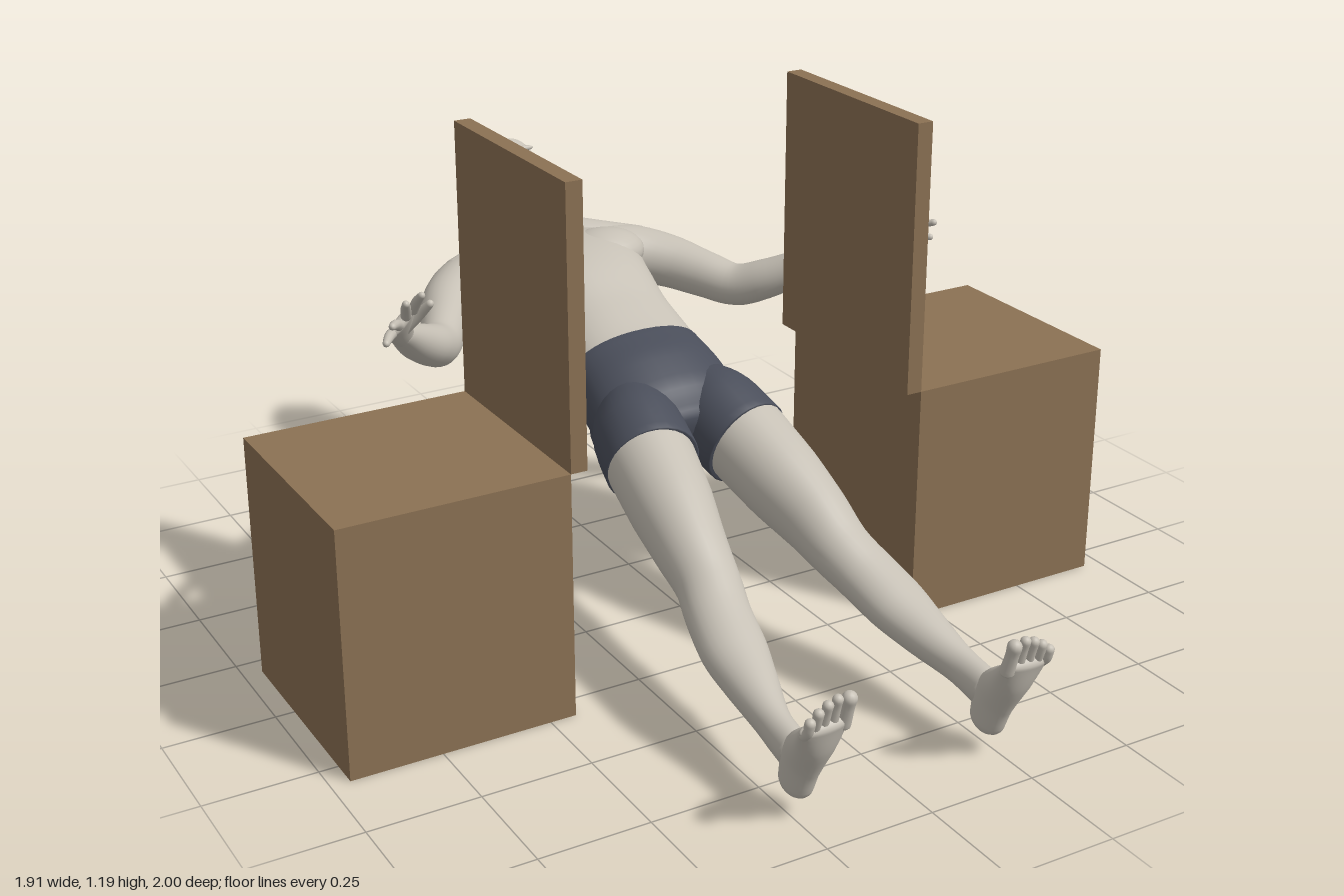
import * as THREE from 'three';

const mat = (name, color) => {
  const m = new THREE.MeshStandardMaterial({ color });
  m.name = name;
  return m;
};
const V = (a) => new THREE.Vector3(a[0], a[1], a[2]);

// Smooth body through stations [x, y, z, halfWidth, halfThickness], with rounded ends.
// ref is the thickness direction, s = -1 mirrors in x, pow < 1 squares the section.
function loft(stations, { ref = [0, 1, 0], s = 1, caps = [0.02, 0.02], pow = 1, sides = 28, steps = 5, grow = 0 } = {}) {
  const path = new THREE.CatmullRomCurve3(stations.map((p) => V([p[0] * s, p[1], p[2]])));
  const size = new THREE.CatmullRomCurve3(stations.map((p) => V([p[3] + grow, p[4] + grow, 0])));
  const up0 = V([ref[0] * s, ref[1], ref[2]]);
  const n = (stations.length - 1) * steps, capN = 6, rings = [];
  for (let i = 0; i < capN; i++) {
    const a = (i / capN) * Math.PI / 2;
    rings.push([0, Math.sin(a), -Math.cos(a) * caps[0]]);
  }
  for (let i = 0; i <= n; i++) rings.push([i / n, 1, 0]);
  for (let i = capN - 1; i >= 0; i--) {
    const a = (i / capN) * Math.PI / 2;
    rings.push([1, Math.sin(a), Math.cos(a) * caps[1]]);
  }
  const pos = [], idx = [];
  const bend = (v) => Math.sign(v) * Math.pow(Math.abs(v), pow);
  rings.forEach(([t, k, off], r) => {
    const T = path.getTangent(t), c = path.getPoint(t).addScaledVector(T, off), d = size.getPoint(t);
    const side = new THREE.Vector3().crossVectors(up0, T).normalize();
    const up = new THREE.Vector3().crossVectors(T, side);
    for (let j = 0; j < sides; j++) {
      const a = (j / sides) * Math.PI * 2;
      const p = c.clone().addScaledVector(side, bend(Math.cos(a)) * d.x * k).addScaledVector(up, bend(Math.sin(a)) * d.y * k);
      pos.push(p.x, p.y, p.z);
      if (r === rings.length - 1) continue;
      const A = r * sides + j, B = r * sides + (j + 1) % sides;
      idx.push(A, B, A + sides, B, B + sides, A + sides);
    }
  });
  const g = new THREE.BufferGeometry();
  g.setAttribute('position', new THREE.Float32BufferAttribute(pos, 3));
  g.setIndex(idx);
  g.computeVertexNormals();
  return g;
}

function blob(center, radii) {
  return new THREE.SphereGeometry(1, 24, 16).scale(...radii).translate(...center);
}

export function createModel() {
  const skin = mat('skin', 0xc6c0b5), cloth = mat('shorts cloth', 0x4a4e5a), wood = mat('wood', 0x8b7153);
  const model = new THREE.Group();
  model.name = 'recliningFigure';
  const add = (name, geo, m = skin) => {
    const mesh = new THREE.Mesh(geo, m);
    mesh.name = name;
    model.add(mesh);
  };

  // Torso and neck
  add('torso', loft([
    [0, 0.53, -0.16, 0.16, 0.1], [0, 0.55, -0.22, 0.165, 0.1], [0, 0.592, -0.32, 0.158, 0.1],
    [0, 0.628, -0.44, 0.172, 0.122], [0, 0.645, -0.55, 0.205, 0.118],
    [0, 0.652, -0.63, 0.215, 0.1], [0, 0.665, -0.69, 0.16, 0.075],
  ], { pow: 0.88, caps: [0.02, 0.04], sides: 40 }));
  add('neck', loft([
    [0, 0.77, -0.86, 0.06, 0.062], [0, 0.735, -0.78, 0.063, 0.06],
    [0, 0.695, -0.71, 0.085, 0.065], [0, 0.67, -0.64, 0.11, 0.07],
  ]));

  // Head, pressed in at the eye sockets
  const head = loft([
    [0, 0.815, -0.955, 0.06, 0.076], [0, 0.812, -0.92, 0.077, 0.1], [0, 0.807, -0.87, 0.086, 0.115],
    [0, 0.812, -0.82, 0.083, 0.096], [0, 0.825, -0.77, 0.072, 0.071],
    [0, 0.836, -0.73, 0.054, 0.044], [0, 0.838, -0.715, 0.042, 0.032],
  ], { caps: [0.045, 0.012], sides: 56, steps: 8 });
  const hp = head.attributes.position;
  for (let i = 0; i < hp.count; i++) {
    if (hp.getY(i) < 0.82) continue;
    const dx = (Math.abs(hp.getX(i)) - 0.034) / 0.02, dz = (hp.getZ(i) + 0.822) / 0.014;
    hp.setY(i, hp.getY(i) - 0.018 * Math.exp(-dx * dx - dz * dz));
  }
  head.computeVertexNormals();
  add('head', head);
  add('nose', loft([[0, 0.898, -0.83, 0.008, 0.008], [0, 0.904, -0.8, 0.01, 0.012], [0, 0.903, -0.777, 0.016, 0.015]],
    { caps: [0.01, 0.01] }));
  add('upperLip', blob([0, 0.876, -0.749], [0.024, 0.008, 0.006]));
  add('lowerLip', blob([0, 0.87, -0.738], [0.02, 0.008, 0.006]));
  add('chin', blob([0, 0.852, -0.719], [0.024, 0.016, 0.014]));

  // Shorts: seat section
  add('shortsSeat', loft([
    [0, 0.548, -0.215, 0.165, 0.102], [0, 0.505, -0.13, 0.176, 0.122],
    [0, 0.468, -0.05, 0.18, 0.115], [0, 0.44, 0.0, 0.15, 0.085],
  ], { pow: 0.92, caps: [0.003, 0.035], sides: 40, grow: 0.004 }), cloth);

  const thigh = [[0.085, 0.48, -0.07, 0.085, 0.098], [0.106, 0.46, 0, 0.101, 0.112], [0.122, 0.428, 0.09, 0.105, 0.106]];
  const shin = [
    [0.142, 0.377, 0.21, 0.094, 0.1], [0.158, 0.328, 0.32, 0.08, 0.086], [0.168, 0.285, 0.41, 0.071, 0.069],
    [0.186, 0.252, 0.48, 0.071, 0.062], [0.203, 0.217, 0.57, 0.072, 0.057], [0.217, 0.184, 0.67, 0.056, 0.05],
    [0.232, 0.154, 0.78, 0.036, 0.042], [0.236, 0.14, 0.85, 0.034, 0.045],
  ];
  const arm = [
    [0.1, 0.665, -0.645, 0.065, 0.065], [0.22, 0.65, -0.635, 0.075, 0.072], [0.295, 0.635, -0.58, 0.07, 0.066],
    [0.355, 0.615, -0.49, 0.057, 0.058], [0.402, 0.602, -0.415, 0.05, 0.052], [0.45, 0.627, -0.355, 0.05, 0.049],
    [0.52, 0.675, -0.28, 0.042, 0.041], [0.588, 0.733, -0.195, 0.027, 0.025],
  ];
  const palmRef = [-0.58, -0.53, 0.58];
  const fingers = [ // knuckle, tip
    [[0.603, 0.828, -0.085], [0.613, 0.885, -0.012]], [[0.622, 0.82, -0.078], [0.655, 0.878, 0.003]],
    [[0.64, 0.802, -0.078], [0.687, 0.835, 0.003]], [[0.652, 0.783, -0.088], [0.694, 0.792, -0.018]],
  ];

  for (const s of [1, -1]) {
    const side = s > 0 ? 'left' : 'right';
    const m = (p) => [p[0] * s, p[1], p[2]];

    // Chest, shoulder and face details
    add(side + 'Pectoral', blob(m([0.09, 0.708, -0.53]), [0.105, 0.057, 0.085]));
    add(side + 'Trapezius', loft([[0.02, 0.71, -0.75, 0.04, 0.05], [0.13, 0.69, -0.685, 0.048, 0.05], [0.25, 0.665, -0.64, 0.045, 0.05]], { s }));
    add(side + 'ShoulderBlade', blob(m([0.11, 0.59, -0.56]), [0.1, 0.06, 0.09]));
    add(side + 'Ear', blob(m([0.087, 0.792, -0.855]), [0.011, 0.02, 0.033]));
    add(side + 'Eye', blob(m([0.034, 0.881, -0.821]), [0.017, 0.01, 0.009]));
    add(side + 'Brow', blob(m([0.034, 0.899, -0.841]), [0.025, 0.007, 0.007]));

    // Arm and hand
    add(side + 'Arm', loft(arm, { s }));
    add(side + 'Palm', loft([[0.58, 0.725, -0.205, 0.026, 0.024], [0.605, 0.765, -0.15, 0.037, 0.019], [0.63, 0.806, -0.085, 0.041, 0.013]],
      { s, ref: palmRef, caps: [0.01, 0.012] }));
    fingers.forEach(([a, b], i) => {
      const mid = a.map((v, k) => (v + b[k]) / 2 + (k === 1 ? 0.003 : 0));
      add(side + 'Finger' + (i + 1), loft([[...a, 0.012, 0.012], [...mid, 0.011, 0.011], [...b, 0.008, 0.008]],
        { s, ref: palmRef, caps: [0.01, 0.009], sides: 12 }));
    });
    add(side + 'Thumb', loft([[0.6, 0.765, -0.15, 0.017, 0.017], [0.575, 0.8, -0.122, 0.013, 0.013], [0.56, 0.83, -0.095, 0.009, 0.009]],
      { s, ref: palmRef, caps: [0.01, 0.01], sides: 12 }));

    // Shorts leg and buttock
    add(side + 'ShortsLeg', loft(thigh, { s, caps: [0.03, 0.002], grow: 0.004 }), cloth);
    add(side + 'Buttock', blob(m([0.082, 0.435, -0.085]), [0.088, 0.092, 0.11]), cloth);

    // Leg, foot and toes
    add(side + 'Leg', loft([thigh[2], ...shin].map((p, i) => (i ? p : [p[0], p[1] + 0.01, p[2] - 0.02, p[3] - 0.002, p[4] - 0.002])), { s }));
    add(side + 'Foot', loft([
      [0.236, 0.08, 0.865, 0.033, 0.044], [0.236, 0.14, 0.884, 0.037, 0.05],
      [0.238, 0.2, 0.932, 0.047, 0.036], [0.241, 0.255, 0.966, 0.057, 0.02],
    ], { s, ref: [0, 0, 1], caps: [0.034, 0.015] }));
    for (let i = 0; i < 5; i++) {
      const x = [0.197, 0.224, 0.246, 0.267, 0.286][i], r = i ? 0.0115 : 0.016, y = [0.31, 0.315, 0.308, 0.296, 0.28][i];
      add(side + 'Toe' + (i + 1), loft([[x, 0.245, 0.964, r, r], [x, y - 0.022, 0.977, r * 0.9, r * 0.9], [x, y, 0.983, r, r]],
        { s, ref: [0, 0, 1], caps: [0.01, r], sides: 12 }));
    }

    // Side block with an upright board along its inner edge
    add(side + 'Block', new THREE.BoxGeometry(0.517, 0.567, 0.515).translate(s * 0.6985, 0.2835, 0.0575), wood);
    add(side + 'Board', new THREE.BoxGeometry(0.038, 0.623, 0.515).translate(s * 0.421, 0.8785, 0.0575), wood);
  }
  return model;
}
